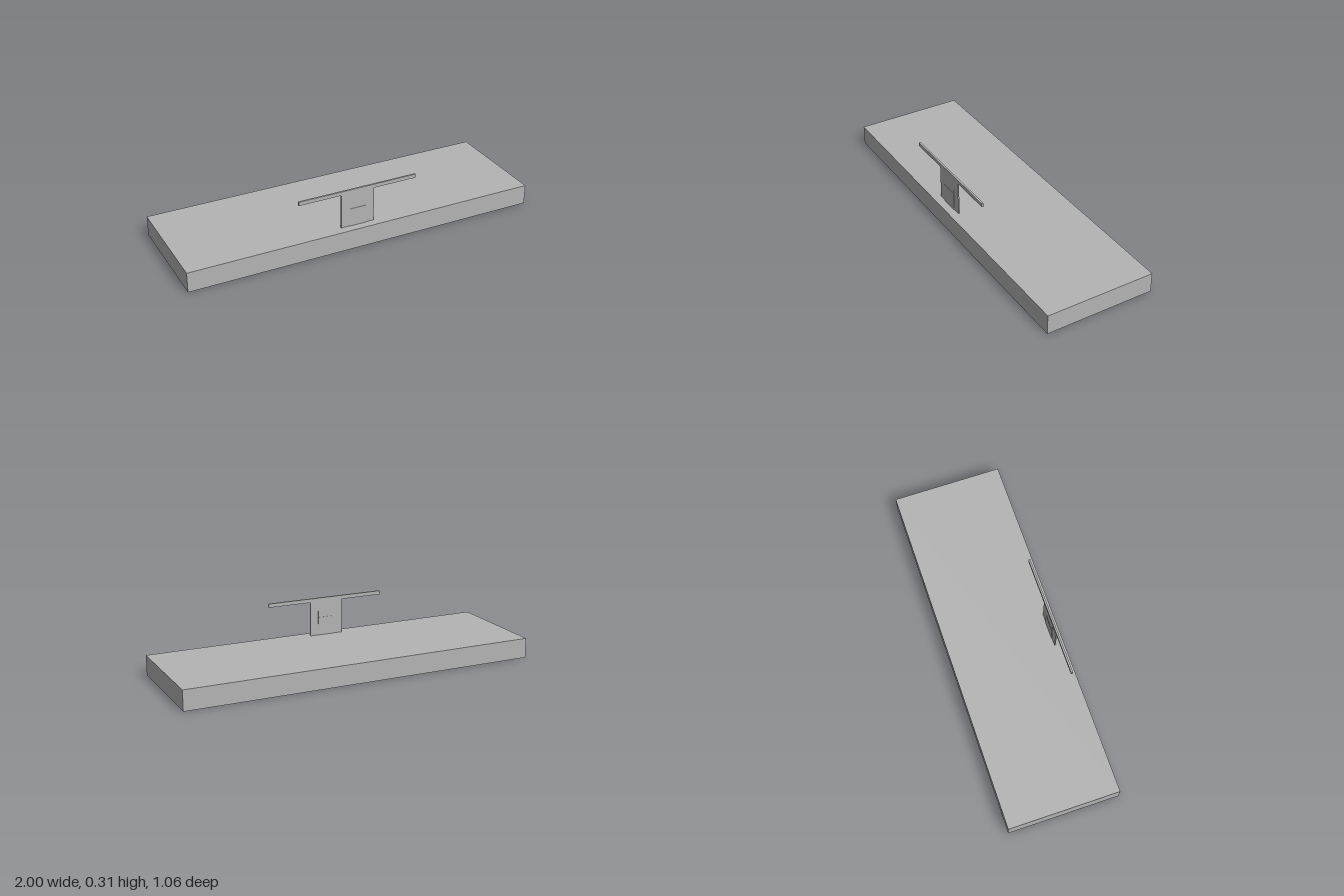
import * as THREE from 'three';

export function createModel() {
  const model = new THREE.Group();
  model.name = 'signOnSlab';
  // Everything is turned together about the vertical axis
  model.rotation.y = THREE.MathUtils.degToRad(15);

  const grey = new THREE.MeshStandardMaterial({ color: 0xb4b4b4 });
  grey.name = 'plain grey';

  // Box given by its centre in plan, its bottom and its top
  const block = (name, x, z, width, depth, bottom, top) => {
    const mesh = new THREE.Mesh(new THREE.BoxGeometry(width, top - bottom, depth), grey);
    mesh.name = name;
    mesh.position.set(x, (bottom + top) / 2, z);
    model.add(mesh);
  };

  const slabTop = 0.107, barBottom = 0.292, midX = -0.031, midZ = 0.247;

  // Ground slab
  block('baseSlab', 0, 0, 1.91, 0.59, 0, slabTop);

  // Upright panel: two side strips and a thicker middle with a low front ledge
  for (const side of [-1, 1]) {
    block(side < 0 ? 'rightStrip' : 'leftStrip', midX + side * 0.069, midZ, 0.045, 0.006, slabTop, barBottom);
  }
  block('upperPanel', midX, midZ, 0.093, 0.008, 0.205, barBottom);
  block('lowerPanel', midX, midZ, 0.093, 0.011, slabTop, 0.205);

  // Long thin bar across the top
  block('topBar', -0.027, 0.246, 0.65, 0.01, barBottom, 0.312);

  return model;
}
